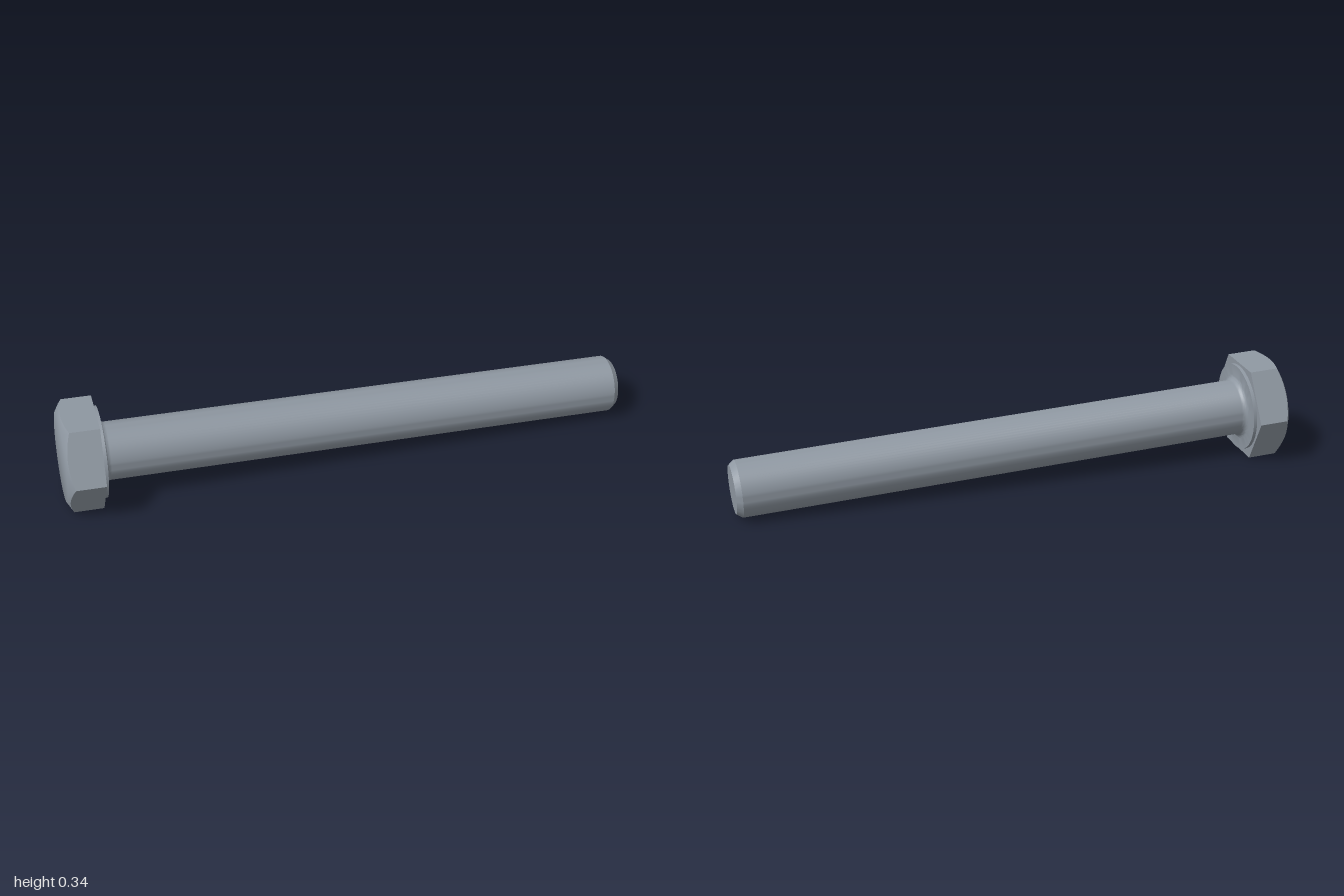
import * as THREE from 'three';
import { toCreasedNormals } from 'three/addons/utils/BufferGeometryUtils.js';

const APOTHEM = 0.168, HEAD = 0.125, CAP_R = 0.155;
const SHAFT_R = 0.1, WASHER_R = 0.158, WASHER_H = 0.012, FILLET = 0.02;

// Hexagonal head: flat base at y = 0, conical chamfer cutting curved edges at the top
function headGeometry() {
  const perSide = 12, n = perSide * 6, side = Math.PI / 3, pos = [];
  const at = (r, y, a) => [r * Math.sin(a), y, r * Math.cos(a)];
  const tri = (a, b, c) => pos.push(...a, ...b, ...c);
  const quad = (a, b, c, d) => { tri(a, b, c); tri(a, c, d); };
  const column = (i) => {
    const a = (i % n) * side / perSide;
    const r = APOTHEM / Math.cos((a % side) - side / 2);
    const rimY = HEAD - (r - CAP_R) * Math.tan(Math.PI / 6);
    return { base: at(r, 0, a), rim: at(r, rimY, a), cap: at(CAP_R, HEAD, a) };
  };
  for (let i = 0; i < n; i++) {
    const p = column(i), q = column(i + 1);
    tri([0, 0, 0], q.base, p.base);
    quad(p.base, q.base, q.rim, p.rim);
    quad(p.rim, q.rim, q.cap, p.cap);
    tri([0, HEAD, 0], p.cap, q.cap);
  }
  const g = new THREE.BufferGeometry();
  g.setAttribute('position', new THREE.Float32BufferAttribute(pos, 3));
  return toCreasedNormals(g, 0.65);
}

// Washer face, fillet, shank and chamfered tip as one turned profile
function shankGeometry(length) {
  const pts = [[WASHER_R, 0], [WASHER_R, WASHER_H]];
  for (let i = 0; i <= 6; i++) {
    const a = i / 6 * Math.PI / 2;
    pts.push([SHAFT_R + FILLET * (1 - Math.sin(a)), WASHER_H + FILLET * (1 - Math.cos(a))]);
  }
  pts.push([SHAFT_R, length - 0.02], [0.085, length], [0, length]);
  const g = new THREE.LatheGeometry(pts.map(([x, y]) => new THREE.Vector2(x, y)), 64);
  return toCreasedNormals(g, 0.5);
}

export function createModel() {
  const steel = new THREE.MeshStandardMaterial({ color: 0x8f98a2 });
  steel.name = 'steel';

  const base = new THREE.Vector3(-0.848, 0.1715, -0.139);
  const tip = new THREE.Vector3(0.977, 0.102, 0.253);

  const head = new THREE.Mesh(headGeometry().rotateX(Math.PI), steel);
  head.name = 'hexHead';
  const shank = new THREE.Mesh(shankGeometry(base.distanceTo(tip)), steel);
  shank.name = 'shank';

  // Lay the bolt along its tilted axis with two head flats level
  const axis = tip.clone().sub(base).normalize();
  const across = new THREE.Vector3(0, 1, 0).cross(axis).normalize();
  const up = axis.clone().cross(across);
  const bolt = new THREE.Group();
  bolt.name = 'bolt';
  bolt.add(head, shank);
  bolt.quaternion.setFromRotationMatrix(new THREE.Matrix4().makeBasis(up, axis, across));
  bolt.position.copy(base);

  const model = new THREE.Group();
  model.name = 'hexBolt';
  model.add(bolt);
  return model;
}
